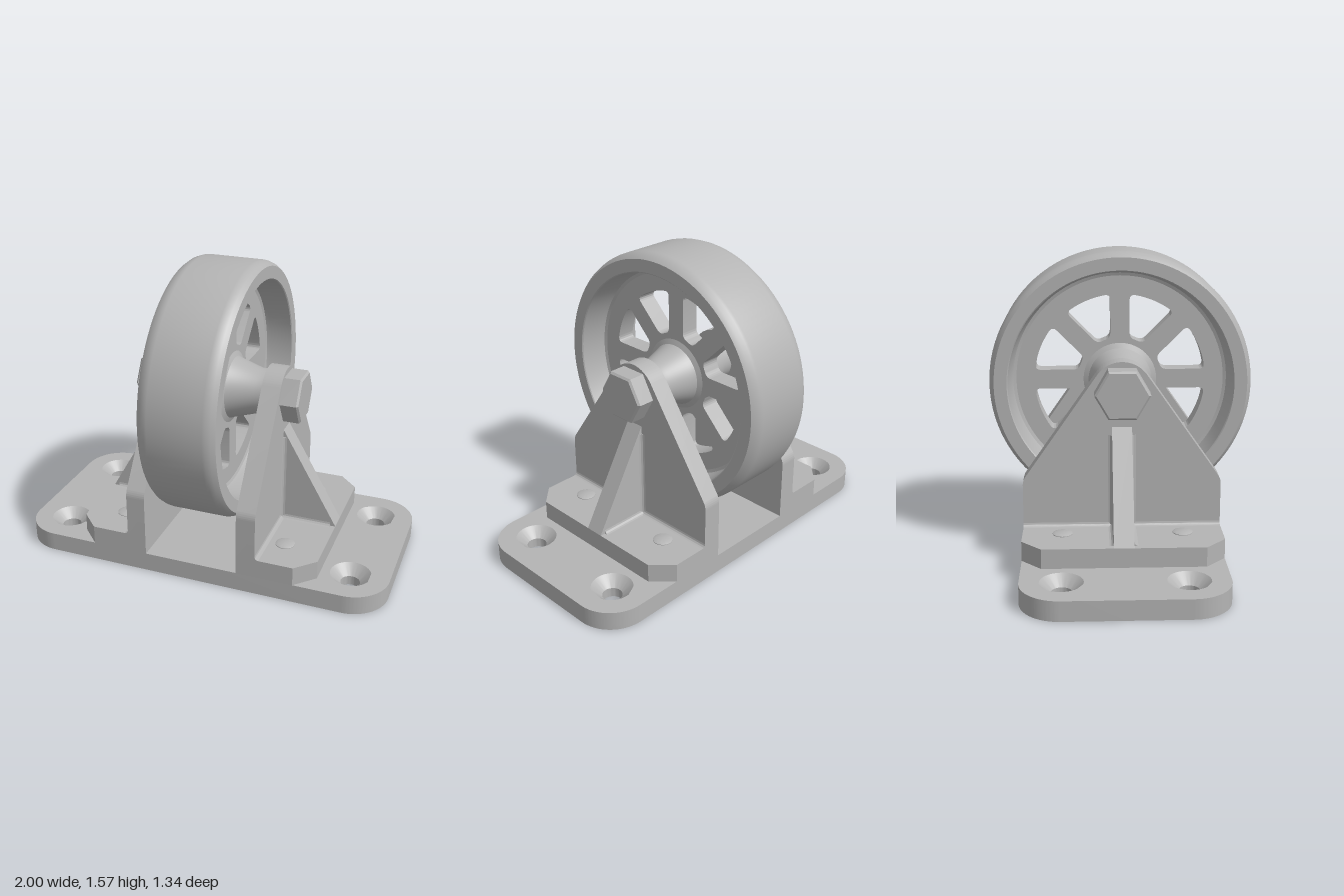
import * as THREE from 'three';
import { toCreasedNormals } from 'three/addons/utils/BufferGeometryUtils.js';

const HALF_PI = Math.PI / 2;
const AXLE_Y = 0.9;

export function createModel() {
  const model = new THREE.Group();
  model.name = 'fixedCaster';
  const grey = new THREE.MeshStandardMaterial({ color: 0xb4b4b4 });
  grey.name = 'grey metal';

  const add = (parent, name, geometry) => {
    const mesh = new THREE.Mesh(toCreasedNormals(geometry, 0.5), grey);
    mesh.name = name;
    parent.add(mesh);
    return mesh;
  };
  const extrude = (shape, depth, steps = 1) =>
    new THREE.ExtrudeGeometry(shape, { depth, steps, bevelEnabled: false, curveSegments: 24 });
  const polygon = (pts) => new THREE.Shape(pts.map(([x, y]) => new THREE.Vector2(x, y)));
  const lathe = (pts, segments) =>
    new THREE.LatheGeometry(pts.map(([r, y]) => new THREE.Vector2(r, y)), segments);

  // Base plate with rounded corners and four countersunk holes
  const plate = new THREE.Shape();
  plate.moveTo(-0.8, -0.5);
  plate.absarc(0.8, -0.3, 0.2, -HALF_PI, 0);
  plate.absarc(0.8, 0.3, 0.2, 0, HALF_PI);
  plate.absarc(-0.8, 0.3, 0.2, HALF_PI, Math.PI);
  plate.absarc(-0.8, -0.3, 0.2, Math.PI, 3 * HALF_PI);
  const holes = [[0.8, 0.3], [-0.8, 0.3], [0.8, -0.3], [-0.8, -0.3]];
  for (const [x, y] of holes) {
    plate.holes.push(new THREE.Path().absarc(x, y, 0.05, 0, Math.PI * 2, true));
  }
  const plateGeo = extrude(plate, 0.1, 2);
  const pos = plateGeo.attributes.position;
  for (let i = 0; i < pos.count; i++) {
    if (pos.getZ(i) < 0.09) continue;
    for (const [hx, hy] of holes) {
      const dx = pos.getX(i) - hx, dy = pos.getY(i) - hy;
      if (Math.hypot(dx, dy) < 0.06) pos.setXY(i, hx + dx * 2.1, hy + dy * 2.1);
    }
  }
  add(model, 'basePlate', plateGeo.rotateX(-HALF_PI));

  // Concave fillet strip running along +z
  const fillet = (length) => {
    const r = 0.02, s = new THREE.Shape();
    s.moveTo(0, 0);
    s.lineTo(r, 0);
    s.absarc(r, r, r, -HALF_PI, -Math.PI, true);
    return extrude(s, length);
  };

  // One bracket, built on +x and turned half round for the other side
  const buildBracket = (name) => {
    const g = new THREE.Group();
    g.name = name;

    // Upright cheek with sloping shoulders tangent to the rounded top
    const cheek = new THREE.Shape();
    const t = 0.61;
    cheek.moveTo(-0.5, 0.1);
    cheek.lineTo(0.5, 0.1);
    cheek.lineTo(0.5, 0.42);
    cheek.quadraticCurveTo(0.5, 0.445, 0.483, 0.469);
    cheek.absarc(0, AXLE_Y, 0.15, t, Math.PI - t);
    cheek.lineTo(-0.483, 0.469);
    cheek.quadraticCurveTo(-0.5, 0.445, -0.5, 0.42);
    add(g, 'upright', extrude(cheek, 0.1).rotateY(HALF_PI).translate(0.25, 0, 0));

    // Foot with clipped outer corners
    const foot = polygon([[0.35, -0.5], [0.55, -0.5], [0.65, -0.4], [0.65, 0.4], [0.55, 0.5], [0.35, 0.5]]);
    add(g, 'foot', extrude(foot, 0.1).rotateX(-HALF_PI).translate(0, 0.1, 0));

    // Triangular rib
    const rib = polygon([[0.35, 0.2], [0.65, 0.2], [0.35, 0.72]]);
    add(g, 'rib', extrude(rib, 0.1).translate(0, 0, -0.05));

    // Fillets where the cheek, foot and rib meet
    add(g, 'cheekFillet', fillet(1).translate(0.35, 0.2, -0.5));
    add(g, 'ribFootFilletBack', fillet(0.27).rotateY(HALF_PI).translate(0.35, 0.2, -0.05));
    add(g, 'ribFootFilletFront', fillet(0.27).rotateY(-HALF_PI).translate(0.62, 0.2, 0.05));
    add(g, 'ribCheekFilletBack', fillet(0.48).rotateX(-HALF_PI).translate(0.35, 0.2, -0.05));
    add(g, 'ribCheekFilletFront', fillet(0.48).rotateX(HALF_PI).translate(0.35, 0.68, 0.05));

    // Low studs on the foot
    for (const z of [-0.3, 0.3]) {
      const stud = lathe([[0.05, 0], [0.05, 0.003], [0.036, 0.009], [0, 0.009]], 32);
      add(g, 'footStud', stud.translate(0.45, 0.2, z));
    }

    // Hexagonal axle bolt head
    const head = lathe([[0.139, 0], [0.139, 0.09], [0.128, 0.1], [0, 0.1]], 6);
    add(g, 'axleBolt', head.rotateZ(-HALF_PI).translate(0.345, AXLE_Y, 0));
    return g;
  };
  const left = buildBracket('leftBracket');
  const right = buildBracket('rightBracket');
  right.rotation.y = Math.PI;
  model.add(left, right);

  // Wheel, turned about the x axis
  const wheel = new THREE.Group();
  wheel.name = 'wheel';
  wheel.position.y = AXLE_Y;
  model.add(wheel);

  // Mirror half a profile to both sides of the wheel's middle
  const mirrored = (half) => [...half.map(([r, y]) => [r, -y]), ...half.slice().reverse()];

  const rim = mirrored([[0.54, 0.05], [0.556, 0.056], [0.562, 0.075], [0.575, 0.195], [0.58, 0.2],
    [0.645, 0.2], [0.661, 0.18], [0.67, 0.155], [0.672, 0.14]]);
  add(wheel, 'rim', lathe(rim, 96).rotateZ(-HALF_PI));

  const hub = mirrored([[0, 0.25], [0.12, 0.25], [0.12, 0.2], [0.155, 0.085], [0.164, 0.062], [0.19, 0.05]]);
  add(wheel, 'hub', lathe(hub, 64).rotateZ(-HALF_PI));

  // Web with eight rounded windows, leaving straight spokes
  const web = new THREE.Shape().absarc(0, 0, 0.56, 0, Math.PI * 2);
  const ri = 0.22, ro = 0.445, c = 0.03;
  const edge = (r) => Math.asin(0.05 / r);
  const at = (r, a) => [r * Math.cos(a), r * Math.sin(a)];
  for (let i = 0; i < 8; i++) {
    const a = i * Math.PI / 4, b = a + Math.PI / 4;
    const w = new THREE.Path();
    w.moveTo(...at(ri + c, a + edge(ri + c)));
    w.lineTo(...at(ro - c, a + edge(ro - c)));
    w.quadraticCurveTo(...at(ro, a + edge(ro)), ...at(ro, a + edge(ro) + c / ro));
    w.absarc(0, 0, ro, a + edge(ro) + c / ro, b - edge(ro) - c / ro);
    w.quadraticCurveTo(...at(ro, b - edge(ro)), ...at(ro - c, b - edge(ro - c)));
    w.lineTo(...at(ri + c, b - edge(ri + c)));
    w.quadraticCurveTo(...at(ri, b - edge(ri)), ...at(ri, b - edge(ri) - c / ri));
    w.lineTo(...at(ri, a + edge(ri) + c / ri));
    w.quadraticCurveTo(...at(ri, a + edge(ri)), ...at(ri + c, a + edge(ri + c)));
    web.holes.push(w);
  }
  add(wheel, 'spokedWeb', extrude(web, 0.1).translate(0, 0, -0.05).rotateY(HALF_PI));

  return model;
}
